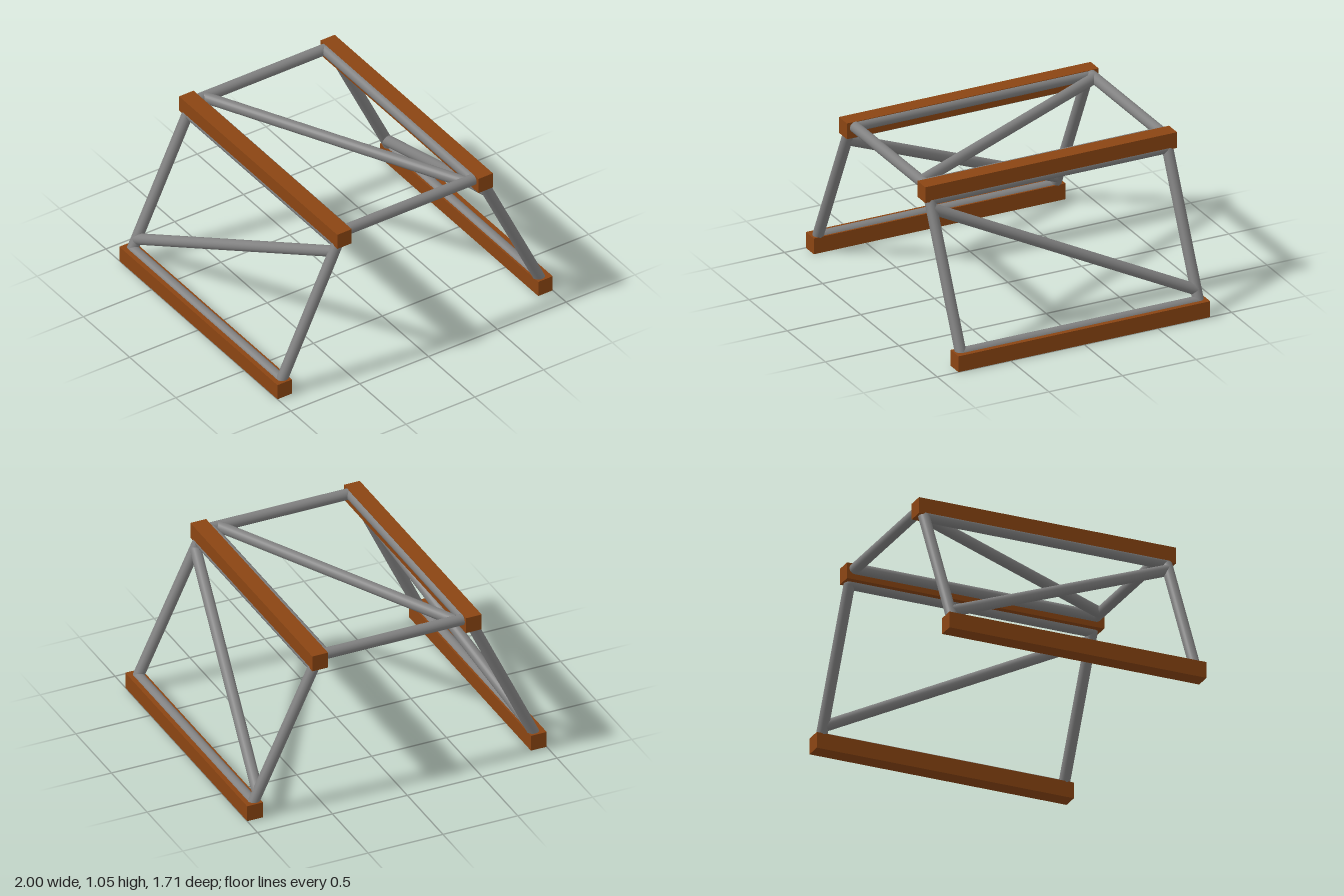
import * as THREE from 'three';

const R = 0.035;
const wood = new THREE.MeshStandardMaterial({ color: 0x8b4513 });
const steel = new THREE.MeshStandardMaterial({ color: 0x808080 });

// Round bar between two points
function tube(parent, name, a, b) {
  const p = new THREE.Vector3(...a);
  const q = new THREE.Vector3(...b);
  const dir = q.clone().sub(p);
  const mesh = new THREE.Mesh(new THREE.CylinderGeometry(R, R, dir.length(), 24), steel);
  mesh.name = name;
  mesh.position.copy(p).add(q).multiplyScalar(0.5);
  mesh.quaternion.setFromUnitVectors(new THREE.Vector3(0, 1, 0), dir.normalize());
  parent.add(mesh);
}

// Closed loop of bars with rounded corner joints and one diagonal brace
function frame(name, corners, brace) {
  const group = new THREE.Group();
  group.name = name;
  corners.forEach((c, i) => {
    tube(group, 'frameBar', c, corners[(i + 1) % corners.length]);
    const joint = new THREE.Mesh(new THREE.SphereGeometry(R, 24, 12), steel);
    joint.name = 'cornerJoint';
    joint.position.set(...c);
    group.add(joint);
  });
  tube(group, 'diagonalBrace', ...brace);
  return group;
}

export function createModel() {
  const model = new THREE.Group();
  model.name = 'trestleFrame';

  for (const s of [1, -1]) {
    const side = s > 0 ? 'left' : 'right';

    // Square timber beams: ground and top
    for (const [label, x, y] of [['BottomBeam', 0.9475, 0.0525], ['TopBeam', 0.513, 0.9975]]) {
      const beam = new THREE.Mesh(new THREE.BoxGeometry(0.105, 0.105, 1.71), wood);
      beam.name = side + label;
      beam.position.set(s * x, y, 0);
      model.add(beam);
    }

    // Sloping side frame, braced from front top to back bottom
    const z = 0.807;
    model.add(frame(side + 'SideFrame',
      [[s * 0.938, 0.09, z], [s * 0.532, 0.945, z], [s * 0.532, 0.945, -z], [s * 0.938, 0.09, -z]],
      [[s * 0.555, 0.895, z], [s * 0.908, 0.155, -z]]));
  }

  // Flat top frame between the upper beams
  const y = 1.015;
  model.add(frame('topFrame',
    [[-0.475, y, 0.8], [0.46, y, 0.8], [0.46, y, -0.805], [-0.475, y, -0.805]],
    [[-0.415, y, -0.8], [0.405, y, 0.8]]));

  return model;
}
